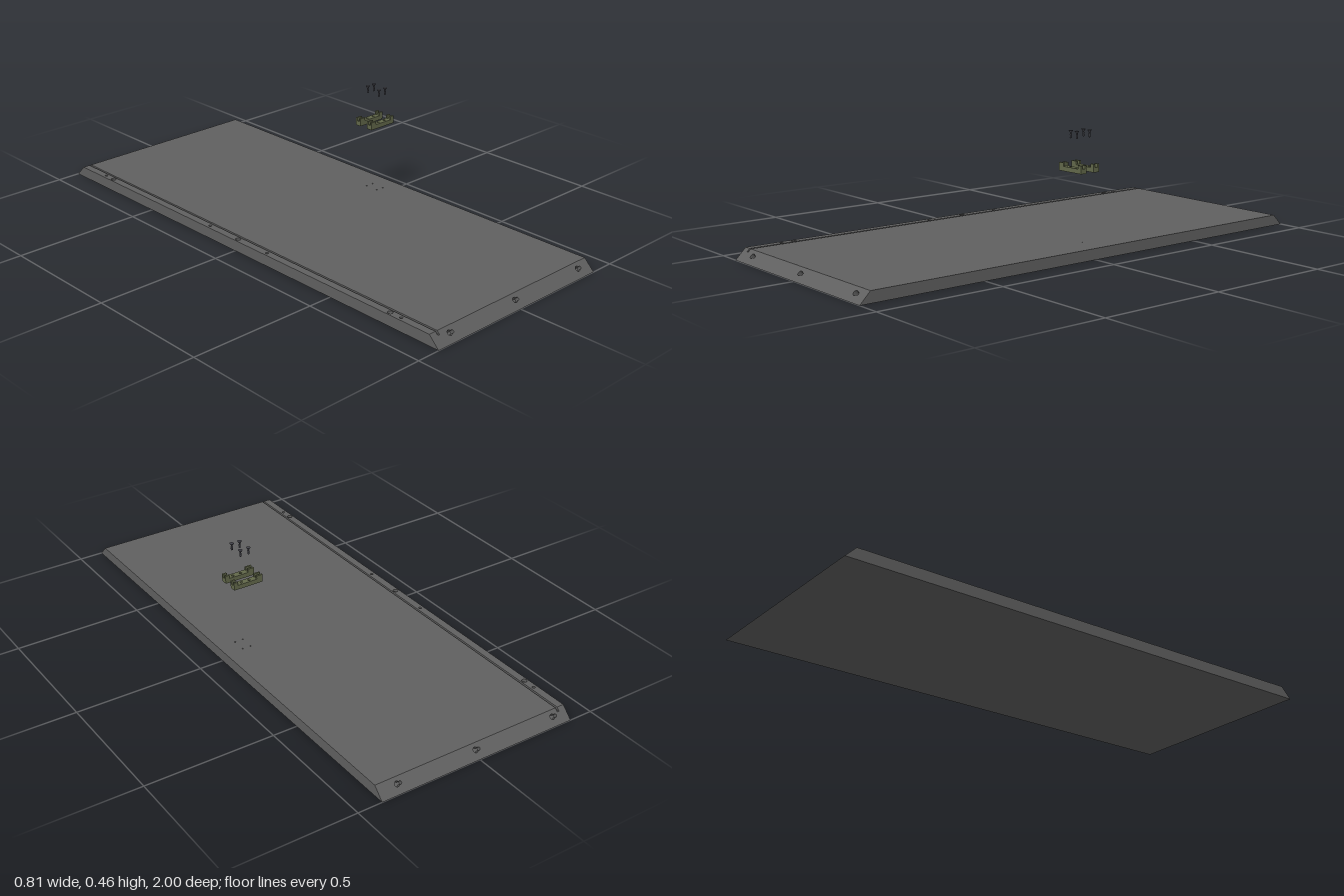
import * as THREE from 'three';

const X0 = -0.407, X1 = 0.405, H = 0.042;          // panel extents
const G0 = -0.378, G1 = -0.37, GY = 0.031;         // groove sides and floor
const DS = THREE.DoubleSide;
const panelMat = new THREE.MeshStandardMaterial({ color: 0x606060, side: DS });
const bracketMat = new THREE.MeshStandardMaterial({ color: 0x62684a });
const screwMat = new THREE.MeshStandardMaterial({ color: 0x45454c });

const poly = pts => new THREE.Shape(pts.map(p => new THREE.Vector2(p[0], p[1])));
const rect = (x0, y0, x1, y1) => poly([[x0, y0], [x1, y0], [x1, y1], [x0, y1]]);

function arc(cx, cy, r, a0, a1, n) {
  return Array.from({ length: n + 1 }, (_, i) => {
    const a = a0 + (a1 - a0) * i / n;
    return [cx + r * Math.cos(a), cy + r * Math.sin(a)];
  });
}
const circle = (cx, cy, r) => arc(cx, cy, r, 0, Math.PI * 2 * 23 / 24, 23);
// large bore overlapping a small one
const keyhole = (cx, cy) => [
  ...arc(cx, cy, 0.01, 0.493, Math.PI * 2 - 0.493, 20),
  ...arc(cx + 0.0125, cy, 0.006, -2.233, 2.233, 14).slice(1, -1)
];

function mesh(name, geo, mat) {
  const m = new THREE.Mesh(geo, mat);
  m.name = name;
  return m;
}

// wall of a blind hole, sunk below the local z = 0 plane
function wall(pts, depth) {
  const pos = [];
  pts.forEach(([x, y], i) => {
    const [u, v] = pts[(i + 1) % pts.length];
    pos.push(x, y, 0, x, y, -depth, u, v, -depth, x, y, 0, u, v, -depth, u, v, 0);
  });
  const g = new THREE.BufferGeometry();
  g.setAttribute('position', new THREE.Float32BufferAttribute(pos, 3));
  g.computeVertexNormals();
  return g;
}

// flat face with blind holes
function drilledFace(name, shape, holes, depth) {
  const g = new THREE.Group();
  g.name = name;
  holes.forEach(pts => {
    shape.holes.push(poly(pts));
    g.add(mesh('holeWall', wall(pts, depth), panelMat));
    const floor = mesh('holeFloor', new THREE.ShapeGeometry(poly(pts)), panelMat);
    floor.position.z = -depth;
    g.add(floor);
  });
  g.add(mesh(name + 'Surface', new THREE.ShapeGeometry(shape), panelMat));
  return g;
}

function createPanel() {
  const panel = new THREE.Group();
  panel.name = 'panel';
  const zt = 1 - H;

  // top: broad field and the narrow strip beyond the groove
  const pilots = [];
  for (const x of [0.3, 0.333]) for (const z of [-0.028, 0.028]) pilots.push(circle(x, z, 0.003));
  const field = drilledFace('topField', rect(G1, -zt, X1, zt), pilots, 0.015);
  const stripHoles = [-0.77, 0, 0.77].map(z => circle(-0.392, z, 0.01));
  [-0.82, -0.16, 0.16, 0.82].forEach(z => stripHoles.push(circle(-0.392, z, 0.006)));
  const strip = drilledFace('topStrip', rect(X0, -zt, G0, zt), stripHoles, 0.011);
  for (const f of [field, strip]) {
    f.rotation.x = -Math.PI / 2;
    f.position.y = H;
    panel.add(f);
  }

  // mitred ends with keyholes, the back one turned half round
  const S = Math.SQRT2;
  for (const f of [1, -1]) {
    const outline = poly([[X0, 0], [X1, 0], [X1, H * S], [G1, H * S], [G1, GY * S],
      [G0, GY * S], [G0, H * S], [X0, H * S]].map(([x, y]) => [x * f, y]));
    const end = drilledFace(f > 0 ? 'frontMitre' : 'backMitre', outline,
      [-0.328, 0, 0.343].map(x => keyhole(x, 0.025 * S)), 0.018);
    end.rotation.x = -Math.PI / 4;
    end.position.z = 1;
    const turn = new THREE.Group();
    turn.name = 'mitredEnd';
    turn.rotation.y = f > 0 ? 0 : Math.PI;
    turn.add(end);
    panel.add(turn);
  }

  // long sides and groove walls
  for (const [name, x, y, dir] of [['rightSide', X0, 0, -1], ['leftSide', X1, 0, 1],
    ['grooveOuterWall', G0, GY, 1], ['grooveInnerWall', G1, GY, -1]]) {
    const s = poly([[-1 + y, y], [1 - y, y], [zt, H], [-zt, H]]);
    const m = mesh(name, new THREE.ShapeGeometry(s), panelMat);
    m.rotation.y = dir * Math.PI / 2;
    m.position.x = x;
    panel.add(m);
  }

  const floor = mesh('grooveFloor', new THREE.ShapeGeometry(rect(G0, GY - 1, G1, 1 - GY)), panelMat);
  floor.rotation.x = -Math.PI / 2;
  floor.position.y = GY;
  const bottom = mesh('underside', new THREE.ShapeGeometry(rect(X0, -1, X1, 1)), panelMat);
  bottom.rotation.x = Math.PI / 2;
  panel.add(floor, bottom);
  return panel;
}

// bracket with a drilled base and a pair of posts at each end
function createBracket(z) {
  const g = new THREE.Group();
  g.name = 'bracket';
  const s = rect(0.25, -0.0125, 0.37, 0.0125);
  for (const x of [0.3, 0.333]) s.holes.push(poly(circle(x, 0, 0.005)));
  const base = mesh('bracketBase', new THREE.ExtrudeGeometry(s, { depth: 0.017, bevelEnabled: false }), bracketMat);
  base.rotation.x = -Math.PI / 2;
  base.position.y = 0.31;
  g.add(base);
  for (const [x0, x1] of [[0.25, 0.275], [0.354, 0.37]]) {
    for (const side of [-1, 1]) {
      const post = mesh('bracketPost', new THREE.BoxGeometry(x1 - x0, 0.013, 0.007), bracketMat);
      post.position.set((x0 + x1) / 2, 0.3335, side * 0.009);
      g.add(post);
    }
  }
  g.position.z = z;
  return g;
}

// countersunk screw with a ridged shank
function createScrew(x, z) {
  const pts = [[0, 0], [0.0025, 0.003]];
  for (let i = 0; i < 5; i++) pts.push([0.004, 0.004 + i * 0.003], [0.0028, 0.0055 + i * 0.003]);
  pts.push([0.003, 0.022], [0.008, 0.029], [0.008, 0.03], [0, 0.03]);
  const geo = new THREE.LatheGeometry(pts.map(p => new THREE.Vector2(p[0], p[1])), 16);
  const m = mesh('screw', geo, screwMat);
  m.position.set(x, 0.43, z);
  return m;
}

export function createModel() {
  const model = new THREE.Group();
  model.name = 'mitredPanelKit';
  model.add(createPanel());
  for (const z of [-0.03, 0.03]) {
    model.add(createBracket(z));
    for (const x of [0.3, 0.333]) model.add(createScrew(x, z));
  }
  return model;
}
